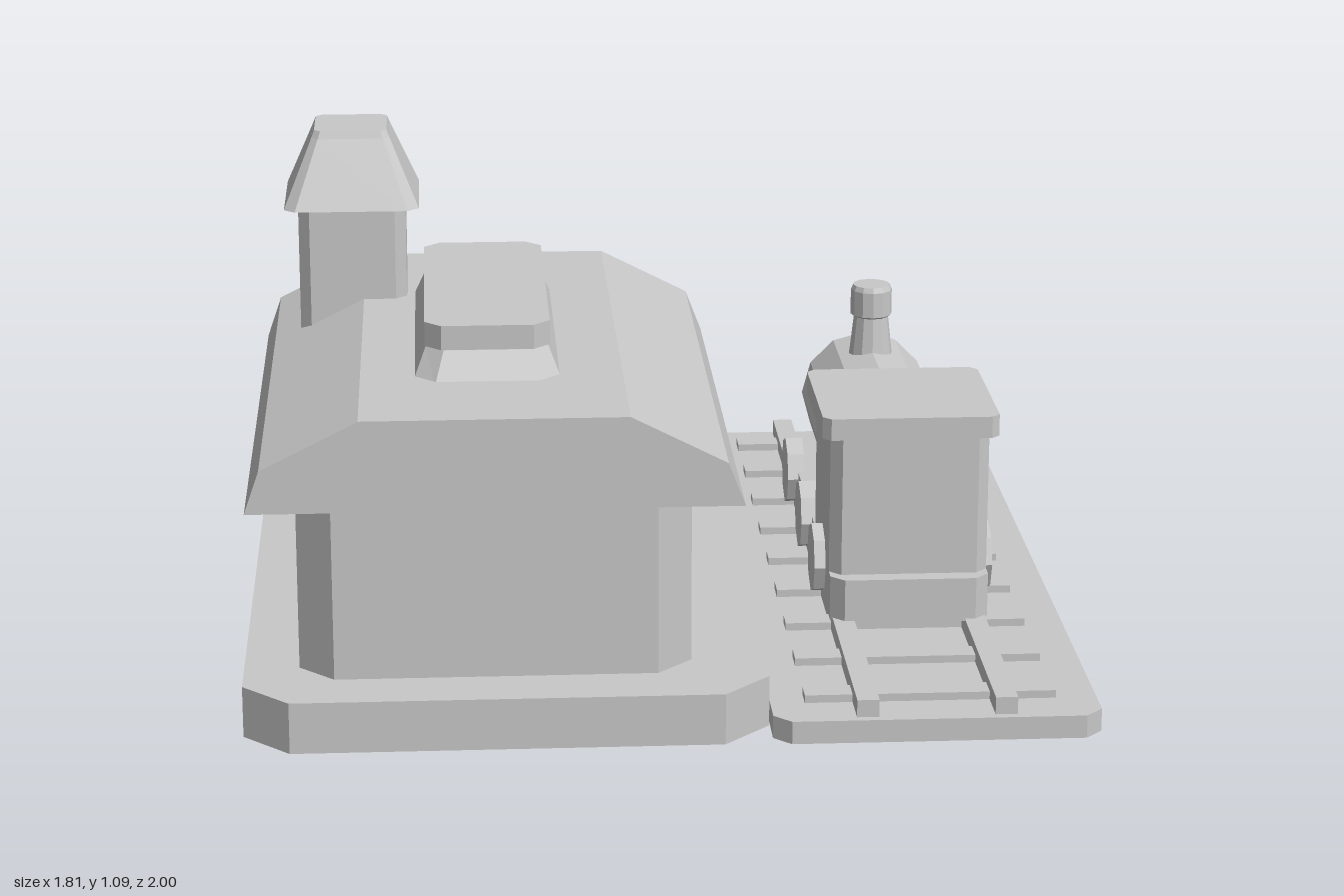
import * as THREE from 'three';

const grey = new THREE.MeshStandardMaterial({ color: 0xc8c8c8, side: THREE.DoubleSide });
grey.name = 'plain grey';

export function createModel() {
  const root = new THREE.Group();
  root.name = 'railwayStation';
  let parent = root;

  function group(name) {
    parent = new THREE.Group();
    parent.name = name;
    root.add(parent);
  }
  // Adds a facetted mesh to the current group
  function add(name, geometry, x = 0, y = 0, z = 0) {
    const g = geometry.index ? geometry.toNonIndexed() : geometry;
    g.computeVertexNormals();
    const m = new THREE.Mesh(g, grey);
    m.name = name;
    m.position.set(x, y, z);
    parent.add(m);
    return m;
  }
  // Box given by its limits
  function box(name, x0, x1, y0, y1, z0, z1) {
    return add(name, new THREE.BoxGeometry(x1 - x0, y1 - y0, z1 - z0),
      (x0 + x1) / 2, (y0 + y1) / 2, (z0 + z1) / 2);
  }
  // Upright block with chamfered corners; its top may be narrower
  function slabGeometry(w, h, d, c, topX = 1, topZ = 1) {
    const a = w / 2, b = d / 2;
    const s = new THREE.Shape([
      [-a + c, -b], [a - c, -b], [a, -b + c], [a, b - c],
      [a - c, b], [-a + c, b], [-a, b - c], [-a, -b + c],
    ].map(([x, y]) => new THREE.Vector2(x, y)));
    const g = new THREE.ExtrudeGeometry(s, { depth: h, bevelEnabled: false });
    g.rotateX(-Math.PI / 2);
    const p = g.attributes.position;
    for (let i = 0; i < p.count; i++) {
      if (p.getY(i) > h / 2) p.setXYZ(i, p.getX(i) * topX, h, p.getZ(i) * topZ);
    }
    return g;
  }
  function slab(name, x0, x1, y0, y1, z0, z1, c, topX, topZ) {
    return add(name, slabGeometry(x1 - x0, y1 - y0, z1 - z0, c, topX, topZ),
      (x0 + x1) / 2, y0, (z0 + z1) / 2);
  }
  // Hollow base: the same block without its underside (the first 6 triangles)
  function hollowSlab(name, x0, x1, height, z0, z1, c) {
    const solid = slabGeometry(x1 - x0, height, z1 - z0, c);
    const g = new THREE.BufferGeometry();
    g.setAttribute('position',
      new THREE.Float32BufferAttribute(solid.attributes.position.array.slice(6 * 9), 3));
    return add(name, g, (x0 + x1) / 2, 0, (z0 + z1) / 2);
  }
  function turned(name, profile, sides, x, y, z) {
    const pts = profile.map(([r, h]) => new THREE.Vector2(r, h));
    return add(name, new THREE.LatheGeometry(pts, sides), x, y, z);
  }

  // Platform and station house
  group('station');
  hollowSlab('platform', -0.903, 0.205, 0.112, -0.938, 0.993, 0.1);
  slab('walls', -0.786, 0.047, 0.103, 0.54, -0.3, 0.862, 0.075);
  const gable = new THREE.Shape([
    [-0.885, 0.51], [0.148, 0.51], [0.112, 0.603],
    [-0.09, 0.706], [-0.648, 0.706], [-0.853, 0.603],
  ].map(([x, y]) => new THREE.Vector2(x, y)));
  add('roof', new THREE.ExtrudeGeometry(gable, { depth: 1.332, bevelEnabled: false }), 0, 0, -0.385);
  slab('roofVentBase', -0.534, -0.222, 0.7, 0.765, -0.092, 0.68, 0.045, 0.83, 0.9);
  slab('roofVentCap', -0.51, -0.244, 0.765, 0.818, -0.055, 0.64, 0.035);

  // Double door on the back wall
  box('door', -0.45, -0.22, 0.11, 0.4, -0.308, -0.3);
  for (const x of [-0.305, -0.36]) box('doorHandle', x - 0.01, x + 0.01, 0.17, 0.22, -0.316, -0.307);

  // Canopy with three posts
  slab('canopy', -0.81, 0, 0.46, 0.503, -0.61, -0.22, 0.03);
  for (const x of [-0.755, -0.405, -0.06]) {
    box('canopyPost', x - 0.0285, x + 0.0285, 0.103, 0.465, -0.555, -0.498);
  }

  // Clock tower
  group('clockTower');
  slab('towerShaft', -0.793, -0.55, 0.6, 0.93, -0.253, 0.013, 0.025);
  slab('towerRoof', -0.824, -0.52, 0.918, 1.07, -0.283, 0.042, 0.025, 0.58, 0.56);
  slab('towerCap', -0.76, -0.584, 1.07, 1.087, -0.212, -0.029, 0.015, 0.93, 0.93);
  const clock = add('clockFace', new THREE.CylinderGeometry(0.08, 0.08, 0.03, 12), -0.655, 0.8, -0.257);
  clock.rotation.x = Math.PI / 2;
  box('minuteHand', -0.665, -0.65, 0.79, 0.85, -0.28, -0.27);
  box('hourHand', -0.672, -0.632, 0.775, 0.807, -0.292, -0.27);

  // Bench and lamp on the platform
  group('platformFurniture');
  box('bench', -0.488, -0.248, 0.103, 0.172, -0.725, -0.618);
  turned('lamp', [[0, -0.007], [0.05, -0.007], [0.036, 0.082], [0.059, 0.082], [0.055, 0.094], [0.028, 0.113],
    [0.024, 0.129], [0, 0.13]], 14, -0.698, 0.11, -0.73);

  // Track
  group('track');
  hollowSlab('trackBed', 0.207, 0.902, 0.05, -1, 1, 0.037);
  for (let i = 0; i < 9; i++) {
    const z = -0.872 + i * 0.2175;
    box('sleeper', 0.28, 0.815, 0.045, 0.067, z - 0.0275, z + 0.0275);
  }
  for (const x of [0.405, 0.697]) {
    box('rail', x - 0.0235, x + 0.0235, 0.045, 0.088, -0.983, 0.982);
  }

  // Locomotive
  group('locomotive');
  slab('chassis', 0.376, 0.727, 0.083, 0.183, -0.555, 0.51, 0.03);
  slab('cab', 0.376, 0.727, 0.18, 0.505, 0.122, 0.472, 0.025);
  slab('cabRoof', 0.356, 0.746, 0.498, 0.547, 0.1, 0.482, 0.018);
  const boiler = turned('boiler', [[0, 0], [0.15, 0], [0.15, 0.58], [0.138, 0.58],
    [0.133, 0.603], [0, 0.603]], 12, 0.551, 0.327, 0.135);
  boiler.rotation.x = -Math.PI / 2;
  turned('chimney', [[0.052, 0], [0.041, 0.1], [0.049, 0.105], [0.049, 0.165], [0.044, 0.177], [0, 0.177]],
    12, 0.551, 0.457, -0.313);
  for (const s of [-1, 1]) {
    box('cabWindow', 0.551 + s * 0.13 - 0.03, 0.551 + s * 0.13 + 0.03, 0.41, 0.47, 0.114, 0.123);
    for (const z of [0.303, 0, -0.33]) {
      const wheel = add('wheel', new THREE.CylinderGeometry(0.08, 0.08, 0.04, 8), 0.551 + s * 0.18, 0.167, z);
      wheel.rotation.z = Math.PI / 2;
    }
  }
  return root;
}
